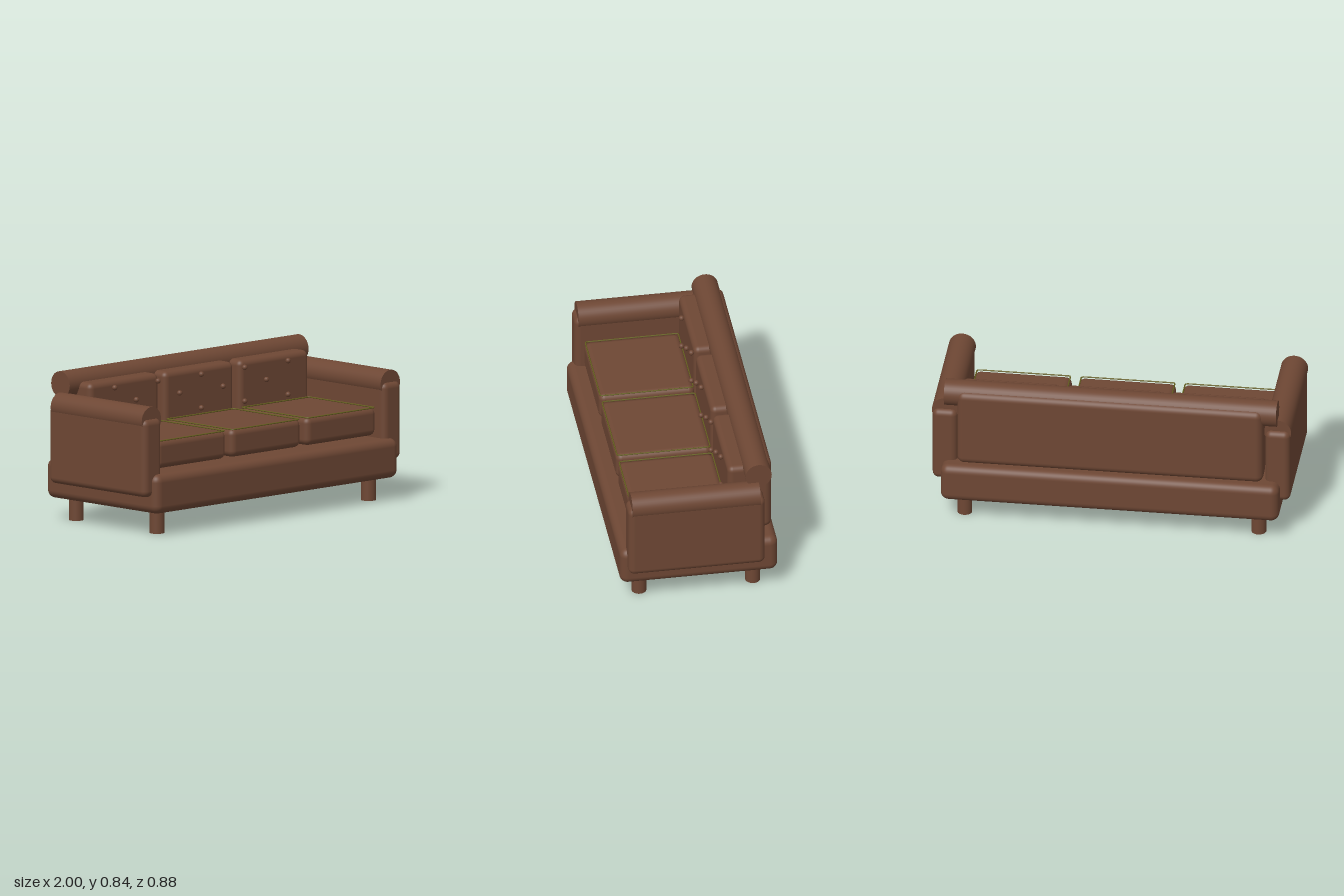
import * as THREE from 'three';
import { RoundedBoxGeometry } from 'three/addons/geometries/RoundedBoxGeometry.js';

const leather = new THREE.MeshStandardMaterial({ color: 0x6e4734 });
leather.name = 'brown leather';
const olive = new THREE.MeshStandardMaterial({ color: 0x66601f });
olive.name = 'olive piping';

export function createModel() {
  const sofa = new THREE.Group();
  sofa.name = 'sofa';

  const add = (name, geometry, x, y, z, material = leather) => {
    const mesh = new THREE.Mesh(geometry, material);
    mesh.name = name;
    mesh.position.set(x, y, z);
    sofa.add(mesh);
    return mesh;
  };

  // Rounded block given by its extents on each axis
  const block = (name, [x0, x1], [y0, y1], [z0, z1], radius) =>
    add(name, new RoundedBoxGeometry(x1 - x0, y1 - y0, z1 - z0, 5, radius),
      (x0 + x1) / 2, (y0 + y1) / 2, (z0 + z1) / 2);

  // Base and backrest
  block('base', [-0.94, 0.94], [0.125, 0.345], [-0.44, 0.44], 0.045);
  block('backPanel', [-0.85, 0.85], [0.357, 0.805], [-0.42, -0.28], 0.04);
  const backRoll = new THREE.CylinderGeometry(0.073, 0.073, 1.845, 40).rotateZ(Math.PI / 2);
  add('backRoll', backRoll, 0, 0.765, -0.333);

  // Arms with a bolster along the top, and legs
  const armRoll = new THREE.CylinderGeometry(0.075, 0.075, 0.715, 40).rotateX(Math.PI / 2);
  const leg = new THREE.CylinderGeometry(0.041, 0.041, 0.13, 28);
  for (const side of [-1, 1]) {
    const xs = [side * 0.855, side * 0.994].sort((a, b) => a - b);
    block('arm', xs, [0.22, 0.655], [-0.36, 0.402], 0.035);
    add('armRoll', armRoll, side * 0.923, 0.646, 0.024);
    for (const z of [-0.316, 0.318]) add('leg', leg, side * 0.817, 0.065, z);
  }

  // Thin rectangular piping loop with rounded corners
  const pipingLoop = (w, d, r) => {
    const points = [];
    for (let corner = 0; corner < 4; corner++) {
      const sx = corner === 0 || corner === 3 ? 1 : -1;
      const sz = corner < 2 ? 1 : -1;
      for (let i = 0; i <= 3; i++) {
        const a = (corner + i / 3) * Math.PI / 2;
        points.push(new THREE.Vector3(
          sx * (w / 2 - r) + r * Math.cos(a), 0, sz * (d / 2 - r) + r * Math.sin(a)));
      }
    }
    const path = new THREE.CurvePath();
    points.forEach((p, i) => path.add(new THREE.LineCurve3(p, points[(i + 1) % points.length])));
    return new THREE.TubeGeometry(path, 240, 0.004, 6, true);
  };

  // Three seat cushions with piping, three back cushions
  const piping = pipingLoop(0.52, 0.52, 0.012);
  for (const x of [-0.58, -0.003, 0.577]) {
    block('seatCushion', [x - 0.27, x + 0.27], [0.36, 0.517], [-0.18, 0.354], 0.035);
    add('seatPiping', piping, x, 0.516, 0.088, olive);
    block('backCushion', [x - 0.268, x + 0.268], [0.375, 0.777], [-0.3, -0.174], 0.032);
  }

  // Buttons in a staggered pattern
  const button = new THREE.SphereGeometry(0.015, 16, 12);
  for (let i = 0; i < 9; i++) {
    for (const y of i % 2 ? [0.652] : [0.738, 0.55]) {
      add('button', button, -0.671 + i * 0.1675, y, -0.163);
    }
  }
  return sofa;
}
